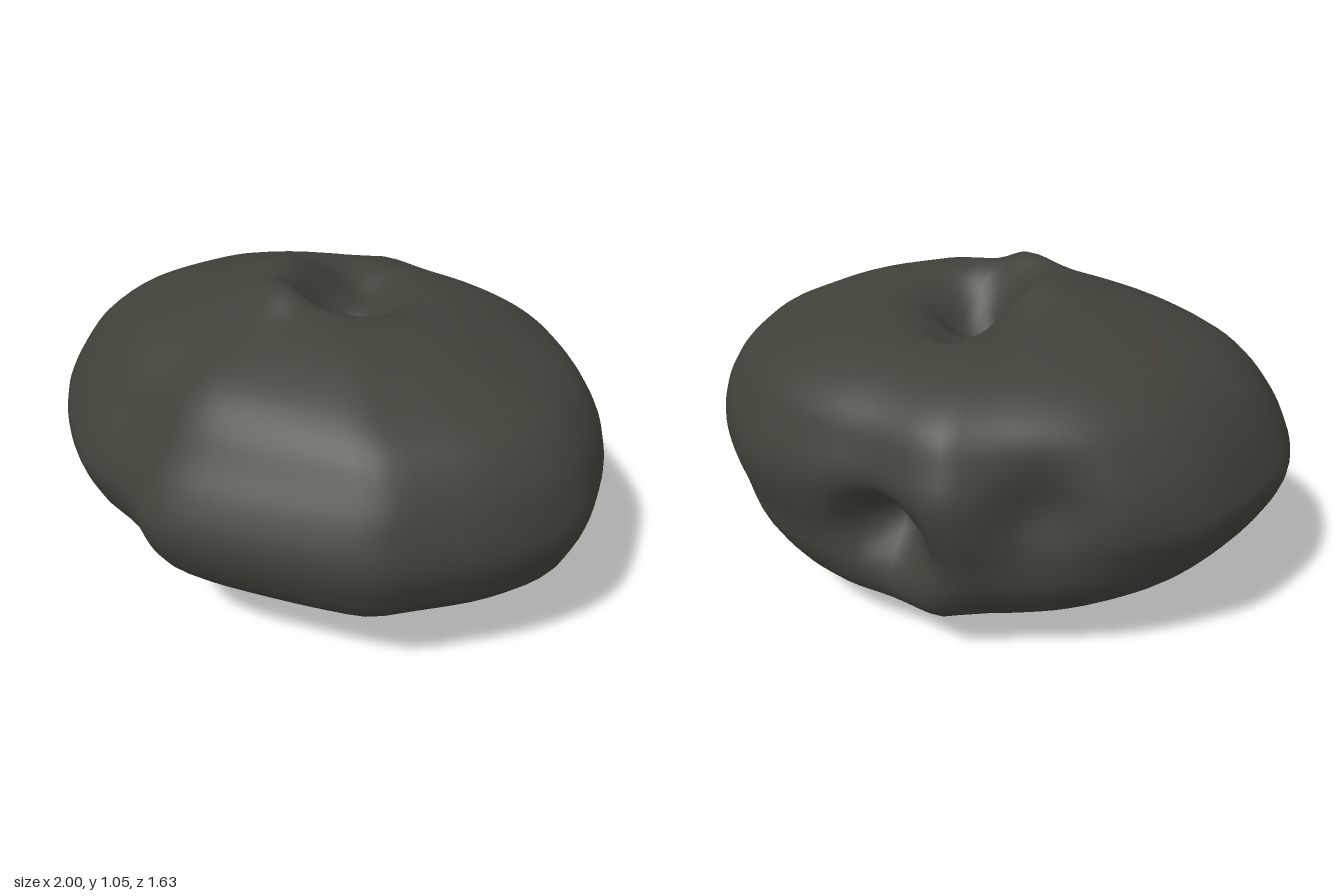
import * as THREE from 'three';
import { mergeVertices } from 'three/addons/utils/BufferGeometryUtils.js';

// Plan outline at the widest level (x, z), anticlockwise seen from above
const OUTLINE = [
  [1, -0.05], [0.93, -0.3], [0.83, -0.48], [0.65, -0.64], [0.45, -0.76], [0.2, -0.81],
  [-0.05, -0.81], [-0.28, -0.82], [-0.37, -0.77], [-0.46, -0.71], [-0.55, -0.66], [-0.7, -0.56],
  [-0.83, -0.43], [-0.94, -0.25], [-1, 0.1], [-0.93, 0.37], [-0.82, 0.49], [-0.63, 0.62],
  [-0.43, 0.71], [-0.25, 0.735], [-0.12, 0.765], [0.01, 0.81], [0.16, 0.79], [0.4, 0.7],
  [0.6, 0.61], [0.7, 0.55], [0.78, 0.44], [0.93, 0.2],
];

// Level heights with the reach toward -x, +x, +z and -z
const LEVELS = [
  [0.005, 0, 0, 0, 0], [0.01, 0.34, 0.12, 0.12, 0.15], [0.05, 0.46, 0.44, 0.28, 0.4],
  [0.1, 0.6, 0.6, 0.39, 0.56], [0.16, 0.74, 0.7, 0.52, 0.7], [0.27, 0.88, 0.9, 0.71, 0.76],
  [0.38, 0.96, 0.97, 0.79, 0.78], [0.49, 1, 1, 0.815, 0.81], [0.6, 0.97, 0.98, 0.77, 0.815],
  [0.7, 0.92, 0.94, 0.7, 0.78], [0.8, 0.84, 0.85, 0.63, 0.73], [0.88, 0.73, 0.69, 0.54, 0.62],
  [0.95, 0.56, 0.52, 0.39, 0.43], [1.0, 0.38, 0.33, 0.26, 0.29], [1.04, 0.19, 0.16, 0.15, 0.16],
  [1.05, 0, 0, 0, 0],
];

// Soft dents: centre, width, and the push at the middle
const DENTS = [
  { at: [0.08, 1.02, -0.12], width: 0.2, push: [0, -0.1, 0] },         // broad crown hollow
  { at: [0.03, 1.02, -0.06], width: 0.12, push: [0, -0.2, 0] },        // crown pit
  { at: [-0.06, 0.99, -0.27], width: 0.12, push: [0, -0.1, 0] },       // furrow behind the pit
  { at: [-0.03, 1.02, 0.15], width: 0.1, push: [0, 0.04, 0] },         // peak of the rim
  { at: [-0.2, 1.02, -0.04], width: 0.1, push: [0, 0.03, 0] },         // side of the rim
  { at: [-0.53, 0.55, -0.63], width: 0.13, push: [0.06, 0, 0.08] },    // back corner hollow
  { at: [-0.07, 0.42, -0.79], width: 0.13, push: [0.02, 0.03, 0.19] }, // back hollow
];

function dent(p) {
  const offset = new THREE.Vector3();
  for (const { at, width, push } of DENTS) {
    const d2 = p.distanceToSquared(new THREE.Vector3(...at));
    offset.addScaledVector(new THREE.Vector3(...push), Math.exp(-d2 / (width * width)));
  }
  return p.add(offset);
}

function rockGeometry(rings, segments) {
  const curve = (pts, closed) => new THREE.CatmullRomCurve3(pts, closed, 'catmullrom', 0.5);
  const outline = curve(OUTLINE.map(([x, z]) => new THREE.Vector3(x, 0, z)), true).getSpacedPoints(segments);
  const xReach = curve(LEVELS.map(([y, l, r]) => new THREE.Vector3(l, y, r)), false);
  const zReach = curve(LEVELS.map(([y, , , f, b]) => new THREE.Vector3(f, y, b)), false);

  const positions = [], index = [];
  for (let i = 0; i <= rings; i++) {
    const X = xReach.getPoint(i / rings), Z = zReach.getPoint(i / rings);
    for (let j = 0; j < segments; j++) {
      const o = outline[j];
      const p = new THREE.Vector3(
        o.x * (o.x < 0 ? X.x : X.z),
        Math.max(0, X.y),
        o.z / 0.815 * (o.z > 0 ? Z.x : Z.z),
      );
      positions.push(...dent(p).toArray());
      if (i === rings) continue;
      const a = i * segments + j, b = i * segments + (j + 1) % segments;
      index.push(a, b, b + segments, a, b + segments, a + segments);
    }
  }
  let geometry = new THREE.BufferGeometry();
  geometry.setAttribute('position', new THREE.Float32BufferAttribute(positions, 3));
  geometry.setIndex(index);
  geometry = mergeVertices(geometry, 1e-4);
  geometry.computeVertexNormals();
  return geometry;
}

export function createModel() {
  const group = new THREE.Group();
  group.name = 'rock';
  const stone = new THREE.MeshStandardMaterial({ color: 0x41413a });
  const body = new THREE.Mesh(rockGeometry(60, 90), stone);
  body.name = 'rockBody';
  group.add(body);
  return group;
}
